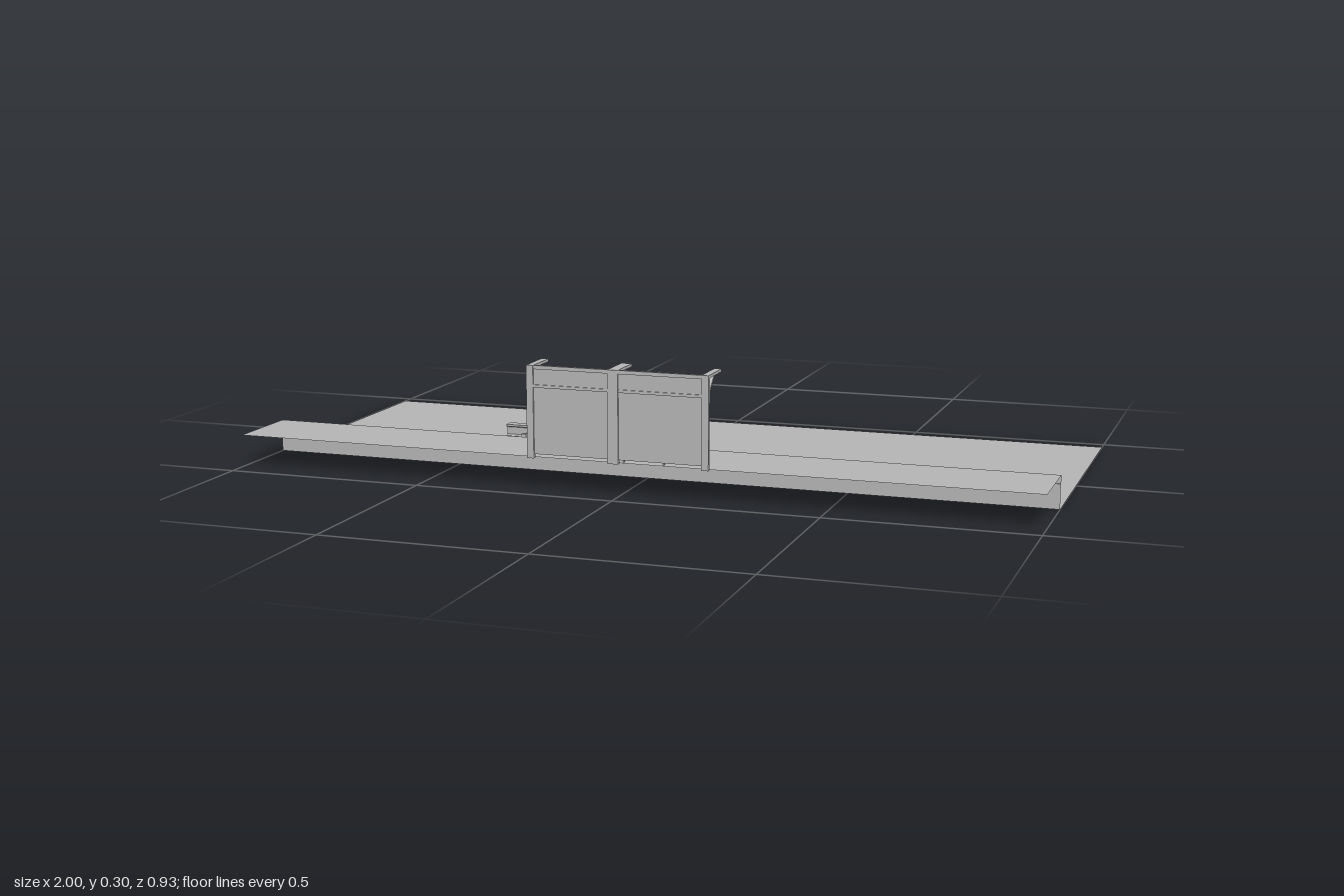
import * as THREE from 'three';

export function createModel() {
  const model = new THREE.Group();
  const grey = new THREE.MeshStandardMaterial({ color: 0xb4b4b4, side: THREE.DoubleSide });
  grey.name = 'light grey';

  const add = (parent, name, geometry) => {
    const mesh = new THREE.Mesh(geometry, grey);
    mesh.name = name;
    parent.add(mesh);
    return mesh;
  };
  const group = (name) => {
    const g = new THREE.Group();
    g.name = name;
    model.add(g);
    return g;
  };
  // Box given by its limits on each axis
  const box = (parent, name, [x0, x1], [y0, y1], [z0, z1]) => {
    const mesh = add(parent, name, new THREE.BoxGeometry(x1 - x0, y1 - y0, z1 - z0));
    mesh.position.set((x0 + x1) / 2, (y0 + y1) / 2, (z0 + z1) / 2);
    return mesh;
  };
  // Side outline of [z, y] points extruded along x
  const extrudeX = (parent, name, points, x0, x1) => {
    const shape = new THREE.Shape(points.map(([z, y]) => new THREE.Vector2(-z, y)));
    const geometry = new THREE.ExtrudeGeometry(shape, { depth: x1 - x0, bevelEnabled: false });
    geometry.rotateY(Math.PI / 2);
    const mesh = add(parent, name, geometry);
    mesh.position.x = x0;
    return mesh;
  };
  // Open sheet spanning the full length between two [z, y] points
  const sheet = (parent, name, [z0, y0], [z1, y1]) => {
    const geometry = new THREE.PlaneGeometry(2, Math.hypot(z1 - z0, y1 - y0));
    geometry.rotateX(-Math.PI / 2 + Math.atan2(y0 - y1, z0 - z1) * -1 + Math.PI);
    const mesh = add(parent, name, geometry);
    mesh.position.set(0, (y0 + y1) / 2, (z0 + z1) / 2);
  };

  // Ground and open platform
  sheet(model, 'ground', [-0.467, 0], [0.25, 0]);
  const platform = group('platform');
  sheet(platform, 'platformTop', [0.246, 0.08], [0.45, 0.08]);
  sheet(platform, 'platformLip', [0.246, 0.06], [0.246, 0.08]);
  sheet(platform, 'platformLipUnderside', [0.246, 0.06], [0.25, 0.06]);
  sheet(platform, 'platformWall', [0.25, 0], [0.25, 0.06]);

  // Shelter: posts, cantilever beams and braces
  const shelter = group('shelter');
  for (const [x0, x1] of [[-0.225, -0.208], [-0.022, 0.004], [0.208, 0.225]]) {
    box(shelter, 'post', [x0, x1], [0.08, 0.303], [0.457, 0.467]);
    box(shelter, 'roofBeam', [x0, x1], [0.296, 0.303], [0.37, 0.457]);
    extrudeX(shelter, 'brace',
      [[0.457, 0.247], [0.457, 0.254], [0.412, 0.296], [0.403, 0.296]], x0 + 0.004, x1 - 0.004);
  }
  box(shelter, 'backPanel', [-0.21, 0.21], [0.09, 0.296], [0.461, 0.463]);
  box(shelter, 'topRail', [-0.21, 0.21], [0.294, 0.303], [0.458, 0.466]);
  box(shelter, 'middleRail', [-0.21, 0.21], [0.25, 0.257], [0.458, 0.466]);
  box(shelter, 'noticeBoard', [-0.2, -0.115], [0.105, 0.245], [0.458, 0.461]);
  box(shelter, 'noticeBoardBar', [-0.2, -0.115], [0.174, 0.178], [0.457, 0.458]);

  // Bench facing the track
  const bench = group('bench');
  for (const x of [0.008, 0.107]) {
    const side = [x - 0.002, x + 0.002];
    for (const z of [0.4, 0.438]) box(bench, 'leg', side, [0.08, 0.12], [z - 0.002, z + 0.002]);
    box(bench, 'legBrace', side, [0.091, 0.095], [0.402, 0.436]);
    box(bench, 'seatSupport', side, [0.116, 0.12], [0.4, 0.44]);
    box(bench, 'armRest', side, [0.126, 0.129], [0.402, 0.436]);
    for (const z of [0.406, 0.432]) box(bench, 'armPost', side, [0.12, 0.126], [z - 0.002, z + 0.002]);
    extrudeX(bench, 'backSupport',
      [[0.438, 0.12], [0.442, 0.12], [0.448, 0.15], [0.445, 0.15]], ...side);
  }
  for (let i = 0; i < 4; i++) {
    const z = 0.4 + i * 0.01;
    box(bench, 'seatSlat', [0, 0.115], [0.12, 0.123], [z, z + 0.007]);
  }
  for (const [y, z] of [[0.129, 0.441], [0.141, 0.443]]) {
    box(bench, 'backSlat', [0, 0.115], [y, y + 0.008], [z, z + 0.002]);
  }

  // Short track section: two rails clipped to a narrow sleeper
  const track = group('track');
  box(track, 'sleeper', [-0.464, -0.452], [0, 0.003], [-0.158, 0.234]);
  const half = [[0.015, 0.003], [0.015, 0.007], [0.006, 0.01], [0.006, 0.029],
    [0.014, 0.032], [0.014, 0.037]];
  const profile = [...half, ...half.map(([z, y]) => [-z, y]).reverse()];
  for (const zc of [0.165, -0.094]) {
    extrudeX(track, 'rail', profile, -0.515, -0.4).position.z = zc;
    box(track, 'basePlate', [-0.466, -0.45], [0.002, 0.006], [zc - 0.045, zc + 0.045]);
    for (const s of [-1, 1]) {
      const z = zc + s * 0.026;
      box(track, 'clip', [-0.464, -0.452], [0.006, 0.018], [z - 0.006, z + 0.006]);
    }
  }
  return model;
}
